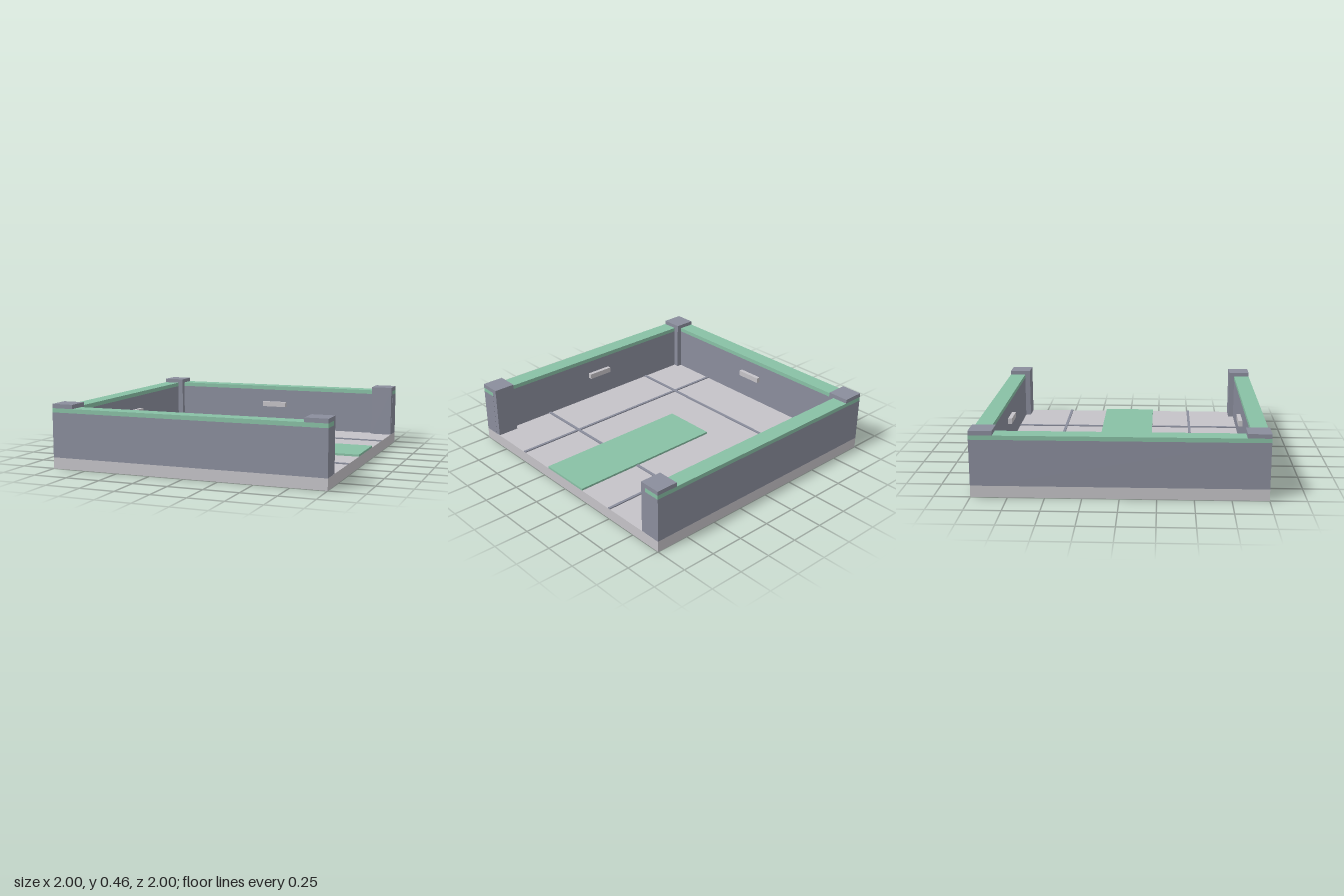
import * as THREE from 'three';

export function createModel() {
  const model = new THREE.Group();
  model.name = 'walledPlatform';

  const make = (name, color) => {
    const m = new THREE.MeshStandardMaterial({ color });
    m.name = name;
    return m;
  };
  const stone = make('pale grey', 0xc5c3c8);
  const slate = make('slate grey', 0x8a8d9c);
  const green = make('soft green', 0x88c0a5);

  // Box given by its min and max on each axis
  const box = (name, material, [x0, x1], [y0, y1], [z0, z1]) => {
    const mesh = new THREE.Mesh(new THREE.BoxGeometry(x1 - x0, y1 - y0, z1 - z0), material);
    mesh.position.set((x0 + x1) / 2, (y0 + y1) / 2, (z0 + z1) / 2);
    mesh.name = name;
    model.add(mesh);
  };
  const span = (s, a, b) => (s > 0 ? [a, b] : [-b, -a]);

  const floorY = 0.08, wallY = 0.4, trimY = 0.43, inner = 0.88;
  box('floor', stone, [-1, 1], [0, floorY], [-1, 1]);

  // Front and back walls with trim and lamp
  for (const s of [-1, 1]) {
    box('wall', slate, [-1, 1], [floorY, wallY], span(s, inner, 1));
    box('wallTrim', green, [-1, 1], [wallY, trimY], span(s, inner, 1));
    box('wallLamp', stone, [-0.1, 0.1], [0.26, 0.3], span(s, 0.85, inner));
  }

  // Closed side wall
  box('sideWall', slate, [-1, -inner], [floorY, wallY], [-inner, inner]);
  box('sideWallTrim', green, [-1, -inner], [wallY, trimY], [-inner, inner]);
  box('sideWallLamp', stone, [-inner, -0.85], [0.26, 0.3], [-0.1, 0.1]);

  // Corner posts, a hair inside the outer faces so the trim stays visible;
  // their caps are flush above the trim
  for (const sx of [-1, 1]) for (const sz of [-1, 1]) {
    box('cornerPost', slate, span(sx, 0.84, 0.999), [floorY, trimY], span(sz, 0.84, 0.999));
    box('cornerPostCap', slate, span(sx, 0.84, 1), [trimY, 0.46], span(sz, 0.84, 1));
  }

  // Floor seams
  for (const p of [-0.5, 0.5]) {
    box('seamAcross', slate, [-inner, 1], [floorY, 0.088], [p - 0.01, p + 0.01]);
    box('seamAlong', slate, [p - 0.01, p + 0.01], [floorY, 0.088], [-inner, inner]);
  }

  // Entry mat at the open side
  box('entryMat', green, [-0.2, 1], [floorY, 0.095], [-0.2, 0.2]);

  return model;
}
